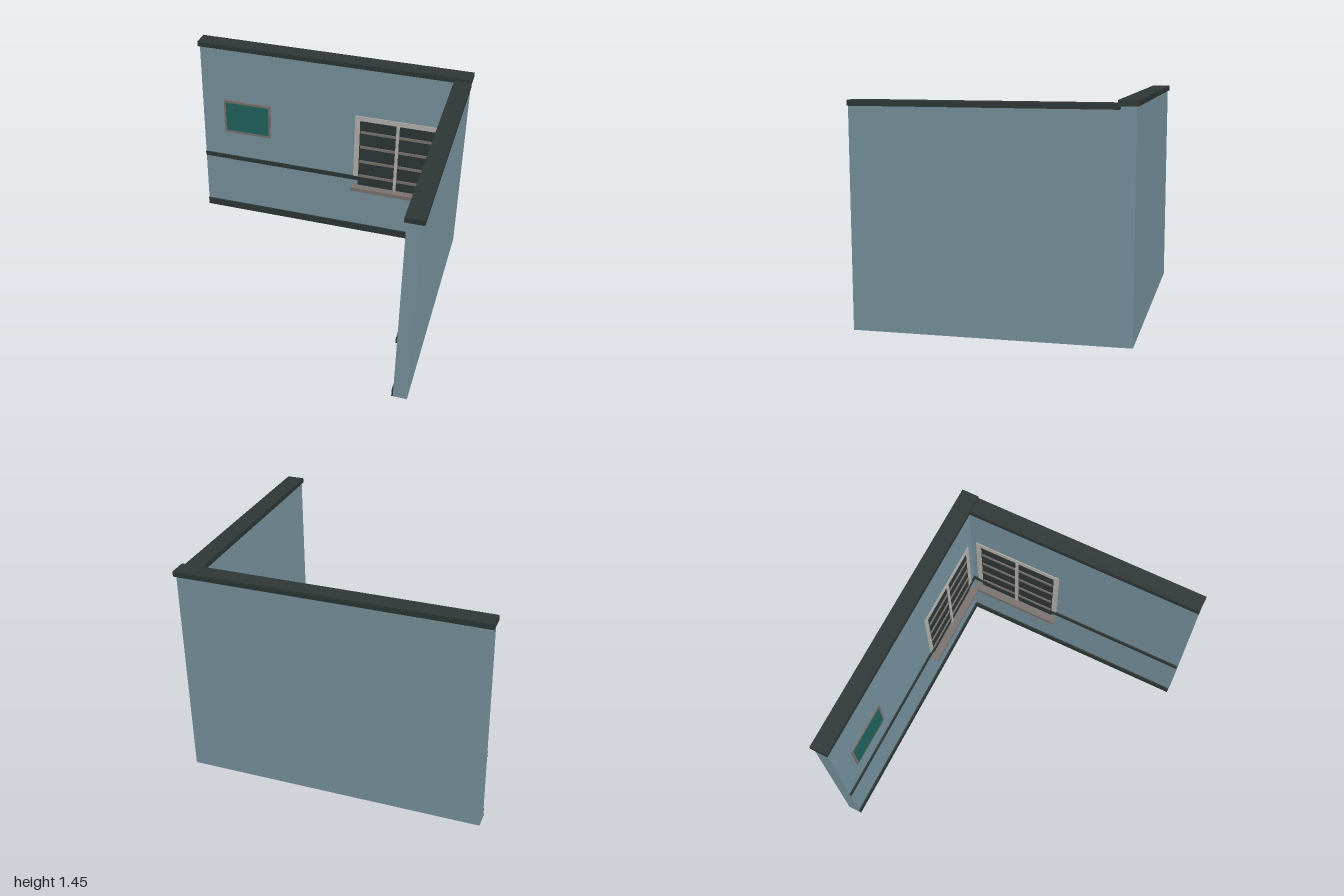
import * as THREE from 'three';

const mat = (name, color) => {
  const m = new THREE.MeshStandardMaterial({ color });
  m.name = name;
  return m;
};

export function createModel() {
  const wallBlue = mat('wallBlue', 0x78939f);
  const darkTrim = mat('darkTrim', 0x2e3836);
  const taupe = mat('taupe', 0x7b736f);
  const paleFrame = mat('paleFrame', 0xb7b3af);
  const teal = mat('teal', 0x22645f);

  const room = new THREE.Group();
  room.name = 'roomCorner';

  // Box given by its minimum and maximum corners
  const box = (parent, name, material, [x0, y0, z0], [x1, y1, z1]) => {
    const g = new THREE.BoxGeometry(x1 - x0, y1 - y0, z1 - z0);
    g.translate((x0 + x1) / 2, (y0 + y1) / 2, (z0 + z1) / 2);
    const mesh = new THREE.Mesh(g, material);
    mesh.name = name;
    parent.add(mesh);
    return mesh;
  };

  const backFace = -0.773; // inner face of the back wall
  const sideFace = 0.893;  // inner face of the side wall

  // Walls
  box(room, 'backWall', wallBlue, [-0.988, 0, -0.863], [0.985, 1.41, backFace]);
  box(room, 'sideWall', wallBlue, [sideFace, 0, backFace], [0.985, 1.39, 0.873]);

  // Wall caps, the back one slightly higher
  box(room, 'backCap', darkTrim, [-1, 1.41, -0.876], [1, 1.445, -0.757]);
  box(room, 'sideCap', darkTrim, [0.88, 1.39, -0.765], [1, 1.425, 0.876]);

  // Baseboard and chair rail along both inner faces
  for (const [name, y0, y1] of [['Baseboard', 0, 0.057], ['ChairRail', 0.467, 0.5]]) {
    box(room, 'back' + name, darkTrim, [-0.988, y0, backFace], [sideFace, y1, backFace + 0.01]);
    box(room, 'side' + name, darkTrim, [sideFace - 0.01, y0, backFace], [sideFace, y1, 0.873]);
  }

  // Window, centred on local x = 0, standing out along local +z
  const addWindow = (name, x, z, turn) => {
    const w = new THREE.Group();
    w.name = name;
    box(w, 'pane', darkTrim, [-0.284, 0.42, 0], [0.284, 0.987, 0.004]);
    for (const s of [-1, 1]) {
      const edges = [s * 0.282, s * 0.32].sort((a, b) => a - b);
      box(w, 'frameSide', paleFrame, [edges[0], 0.5, 0], [edges[1], 1.023, 0.006]);
    }
    box(w, 'frameTop', paleFrame, [-0.282, 0.985, 0], [0.282, 1.023, 0.006]);
    for (let i = 0; i < 4; i++) {
      const y = 0.511 + i * 0.127;
      box(w, 'crossBar', taupe, [-0.276, y - 0.01, 0], [0.276, y + 0.01, 0.011]);
    }
    box(w, 'centreBar', paleFrame, [-0.011, 0.42, 0], [0.011, 0.987, 0.013]);
    // Sill, open at its two ends
    const sill = box(w, 'sill', taupe, [-0.326, 0.395, 0], [0.326, 0.424, 0.058]);
    sill.geometry.clearGroups();
    sill.geometry.setIndex(Array.from(sill.geometry.index.array).slice(12));
    w.position.set(x, 0, z);
    w.rotation.y = turn;
    room.add(w);
  };
  addWindow('backWindow', 0.515, backFace, 0);
  addWindow('sideWindow', sideFace, -0.415, -Math.PI / 2);

  // Framed picture on the back wall
  box(room, 'pictureFrame', taupe, [-0.82, 0.71, backFace], [-0.453, 0.986, backFace + 0.008]);
  box(room, 'picturePanel', teal, [-0.805, 0.73, backFace], [-0.47, 0.967, backFace + 0.01]);

  return room;
}
